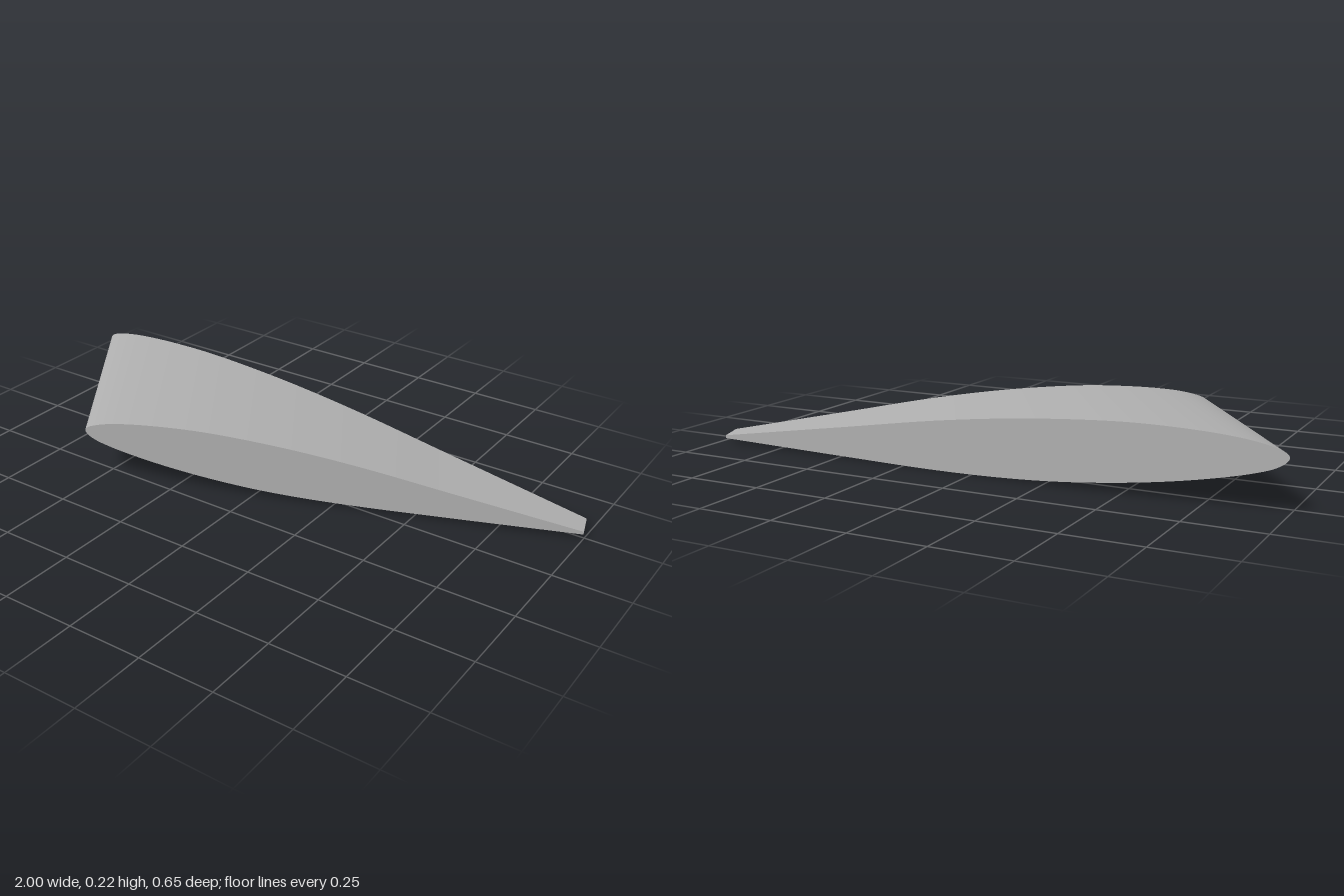
import * as THREE from 'three';

// chord fraction, tip top, tip bottom, root top, root bottom
const PROFILE = [
  [0, 0.17, 0.17, 0.17, 0.17],
  [0.005, 0.181, 0.155, 0.1825, 0.154],
  [0.02, 0.191, 0.138, 0.194, 0.135],
  [0.05, 0.2025, 0.119, 0.2065, 0.1145],
  [0.1, 0.2115, 0.096, 0.217, 0.09],
  [0.17, 0.2163, 0.0705, 0.2228, 0.0628],
  [0.25, 0.2155, 0.048, 0.2223, 0.039],
  [0.35, 0.2045, 0.028, 0.211, 0.0175],
  [0.45, 0.187, 0.0175, 0.193, 0.006],
  [0.575, 0.157, 0.0135, 0.1615, 0.002],
  [0.75, 0.1045, 0.0152, 0.106, 0.0072],
  [1, 0.03, 0.02, 0.027, 0.017],
];
const HALF = 66; // samples along each surface

// Smooth section loop: trailing edge, over the top, round the nose, back underneath
function section(lead, trail, topCol, bottomCol) {
  const at = (row, col) => new THREE.Vector3(
    THREE.MathUtils.lerp(lead[0], trail[0], row[0]), row[col],
    THREE.MathUtils.lerp(lead[1], trail[1], row[0]));
  const top = PROFILE.map((r) => at(r, topCol)).reverse();
  const bottom = PROFILE.slice(1).map((r) => at(r, bottomCol));
  return new THREE.CatmullRomCurve3([...top, ...bottom], false, 'centripetal').getPoints(HALF * 2);
}

// Surface between two rows of points
function strip(a, b) {
  const index = [];
  const n = a.length;
  for (let i = 0; i < n - 1; i++) {
    index.push(i, n + i, i + 1, n + i, n + i + 1, i + 1);
  }
  const geometry = new THREE.BufferGeometry().setFromPoints([...a, ...b]);
  geometry.setIndex(index);
  geometry.computeVertexNormals();
  return geometry;
}

export function createModel() {
  const group = new THREE.Group();
  group.name = 'wing';
  const grey = new THREE.MeshStandardMaterial({ color: 0xb0b0b0 });
  grey.name = 'grey';
  const add = (name, a, b) => {
    const mesh = new THREE.Mesh(strip(a, b), grey);
    mesh.name = name;
    group.add(mesh);
  };

  const tip = section([-0.545, 0.325], [1, -0.24], 1, 2);
  const root = section([-1, -0.325], [0.975, -0.325], 3, 4);
  const upper = (s) => s.slice(0, HALF + 1);
  const lower = (s) => s.slice(HALF).reverse();
  const ends = (s) => [s[HALF * 2], s[0]];

  add('wingSkin', tip, root);
  add('tipCap', lower(tip), upper(tip));
  add('rootCap', upper(root), lower(root));
  add('trailingEdge', ends(tip), ends(root));
  return group;
}
